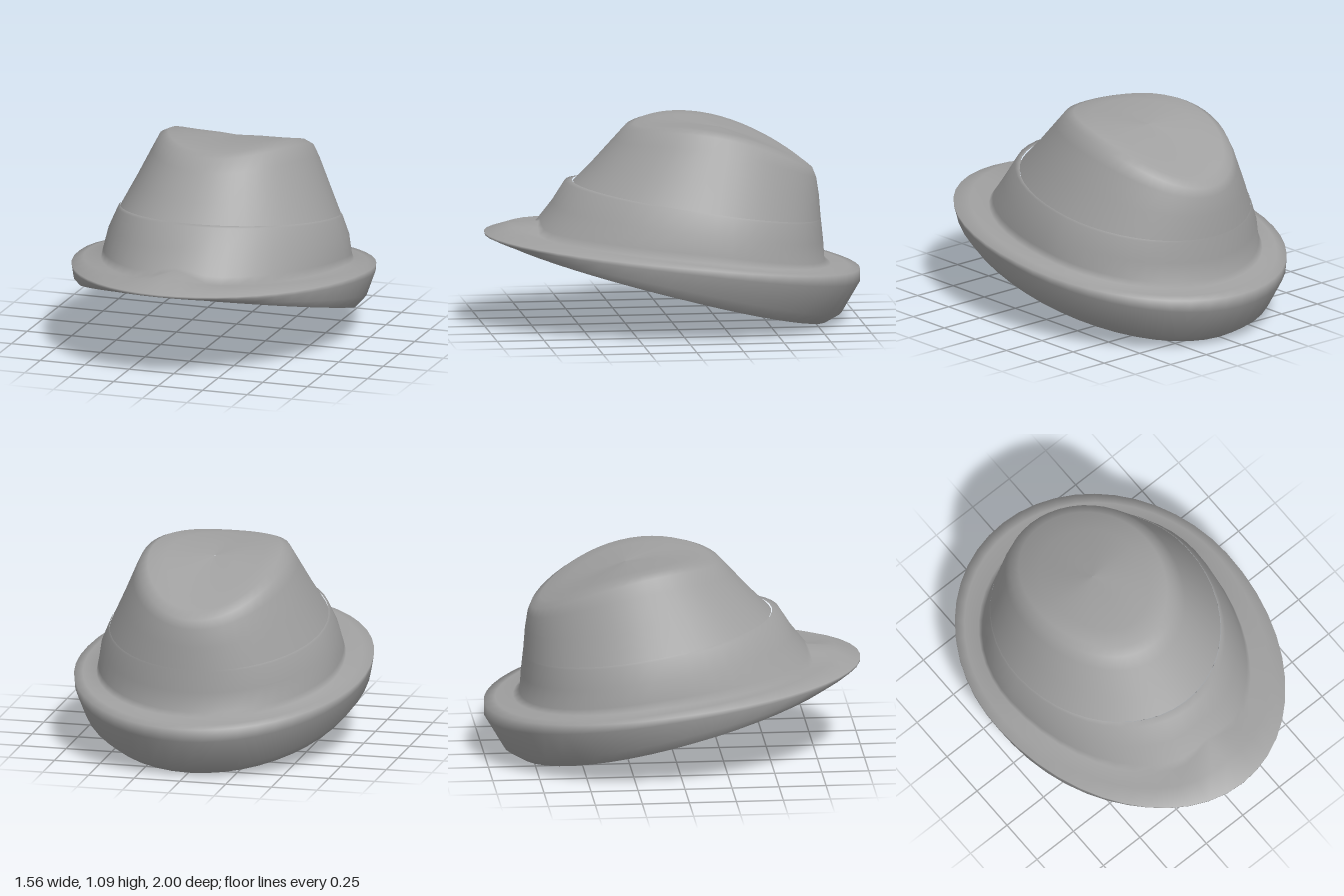
import * as THREE from 'three';

const SEGMENTS = 48;

// Egg-shaped ring: [halfWidth, sideZ, sideY, frontZ, frontY, backZ, backY, pinch]
// The pinch lifts the front centre and pulls it back into a narrow ridge.
function ringPoint([w, sz, sy, fz, fy, bz, by, pinch = 0], t) {
  const c = Math.cos(t);
  const fromFront = Math.min(t, Math.PI * 2 - t);
  const ridge = pinch * Math.exp(-((fromFront / 0.2) ** 2));
  const z = sz + (c > 0 ? fz - sz : sz - bz) * c - ridge;
  const y = sy + ((fy - by) / 2) * c + ((fy + by) / 2 - sy) * c * c + ridge;
  return [w * Math.sin(t), y, z];
}

// Smooth skin through a stack of rings, listed from below to above
function loft(name, rings, material) {
  const positions = [], indices = [];
  rings.forEach((ring, i) => {
    for (let j = 0; j < SEGMENTS; j++) {
      positions.push(...ringPoint(ring, (j / SEGMENTS) * Math.PI * 2));
      if (i === rings.length - 1) continue;
      const k = (j + 1) % SEGMENTS;
      const a = i * SEGMENTS + j, b = i * SEGMENTS + k;
      indices.push(a, b, b + SEGMENTS, a, b + SEGMENTS, a + SEGMENTS);
    }
  });
  const geometry = new THREE.BufferGeometry();
  geometry.setAttribute('position', new THREE.Float32BufferAttribute(positions, 3));
  geometry.setIndex(indices);
  geometry.computeVertexNormals();
  const mesh = new THREE.Mesh(geometry, material);
  mesh.name = name;
  return mesh;
}

export function createModel() {
  const felt = new THREE.MeshStandardMaterial({ color: 0xa0a0a0 });
  felt.name = 'grey felt';

  // Edge shared by the underside and the brim
  const bottomEdge = [0.71, 0.05, 0.245, 0.95, 0.482, -0.82, 0.005];

  const hat = new THREE.Group();
  hat.name = 'hat';
  hat.add(
    // Flat closed bottom
    loft('underside', [
      [0.002, 0.06, 0.247, 0.062, 0.248, 0.058, 0.246],
      bottomEdge,
    ], felt),
    // Curled brim, high at the back and thin at the front, flowing up into the hat band
    loft('brimAndBand', [
      bottomEdge,
      [0.753, 0.0, 0.29, 0.975, 0.486, -0.9, 0.05],
      [0.776, -0.08, 0.375, 0.998, 0.493, -1.0, 0.22],
      [0.78, -0.08, 0.408, 1.0, 0.505, -1.0, 0.288],
      [0.73, -0.1, 0.42, 0.88, 0.54, -0.94, 0.3, 0.015],
      [0.65, -0.15, 0.42, 0.775, 0.505, -0.845, 0.315, 0.06],
      [0.642, -0.15, 0.46, 0.74, 0.54, -0.81, 0.335, 0.035],
      [0.625, -0.16, 0.56, 0.65, 0.65, -0.803, 0.44, 0.015],
      [0.583, -0.17, 0.66, 0.57, 0.77, -0.792, 0.55],
      [0.575, -0.17, 0.67, 0.53, 0.772, -0.791, 0.56],
    ], felt),
    // Tapered crown with a shallow dished top
    loft('crown', [
      [0.575, -0.17, 0.665, 0.525, 0.767, -0.791, 0.555],
      [0.5, -0.2, 0.82, 0.43, 0.86, -0.782, 0.68],
      [0.43, -0.24, 0.97, 0.31, 0.99, -0.768, 0.775],
      [0.395, -0.25, 1.04, 0.25, 1.055, -0.75, 0.82],
      [0.35, -0.25, 1.062, 0.2, 1.072, -0.7, 0.86],
      [0.26, -0.25, 1.058, 0.1, 1.085, -0.57, 0.93],
      [0.12, -0.25, 1.056, -0.09, 1.075, -0.4, 1.0],
      [0.002, -0.25, 1.05, -0.248, 1.05, -0.252, 1.05],
    ], felt),
  );
  return hat;
}
